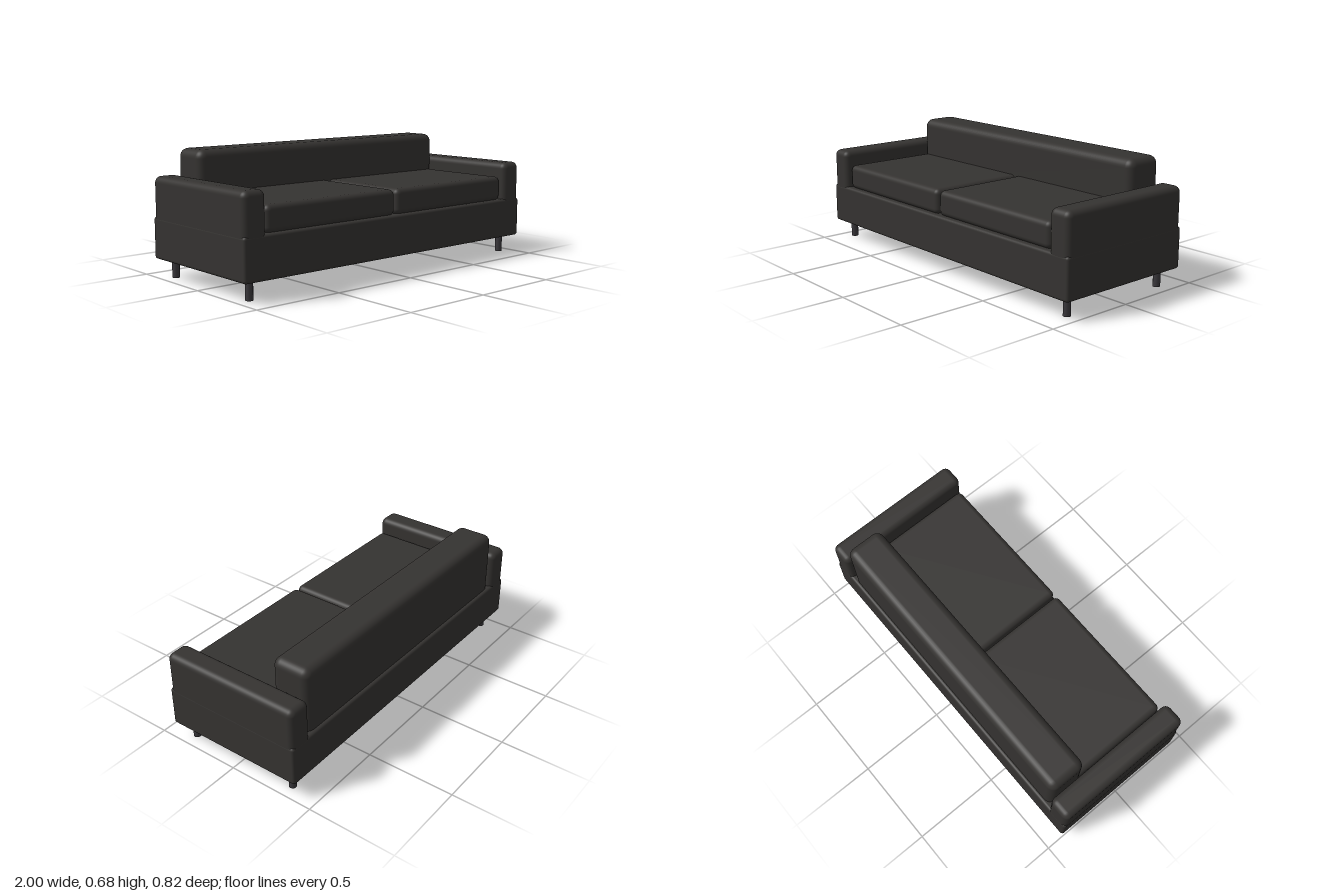
import * as THREE from 'three';
import { RoundedBoxGeometry } from 'three/addons/geometries/RoundedBoxGeometry.js';

const fabric = new THREE.MeshStandardMaterial({ color: 0x353331 });
const legPaint = new THREE.MeshStandardMaterial({ color: 0x3a383c });

// Rounded block given by its minimum and maximum corners
function block(name, min, max, radius) {
  const [w, h, d] = max.map((v, i) => v - min[i]);
  const mesh = new THREE.Mesh(new RoundedBoxGeometry(w, h, d, 4, radius), fabric);
  mesh.position.set(min[0] + w / 2, min[1] + h / 2, min[2] + d / 2);
  mesh.name = name;
  return mesh;
}

export function createModel() {
  const sofa = new THREE.Group();
  sofa.name = 'sofa';

  // Base and backrest
  sofa.add(block('base', [-1, 0.1, -0.41], [1, 0.325, 0.41], 0.016));
  sofa.add(block('backrest', [-0.86, 0.28, -0.39], [0.86, 0.68, -0.17], 0.045));

  const legGeometry = new THREE.CylinderGeometry(0.02, 0.02, 0.11, 12);
  for (const [side, s] of [['left', 1], ['right', -1]]) {
    // Armrest, sunk into the base
    const arm = block(side + 'Armrest', [0.865, 0.22, -0.409], [0.999, 0.54, 0.409], 0.035);
    arm.position.x *= s;

    // Seat cushion, running up to the backrest
    const cushion = block(side + 'SeatCushion', [0.005, 0.32, -0.2], [0.855, 0.46, 0.39], 0.03);
    cushion.position.x *= s;
    sofa.add(arm, cushion);

    // Legs
    for (const [end, z] of [['Front', 0.33], ['Back', -0.33]]) {
      const leg = new THREE.Mesh(legGeometry, legPaint);
      leg.name = side + end + 'Leg';
      leg.position.set(s * 0.92, 0.055, z);
      sofa.add(leg);
    }
  }
  return sofa;
}
